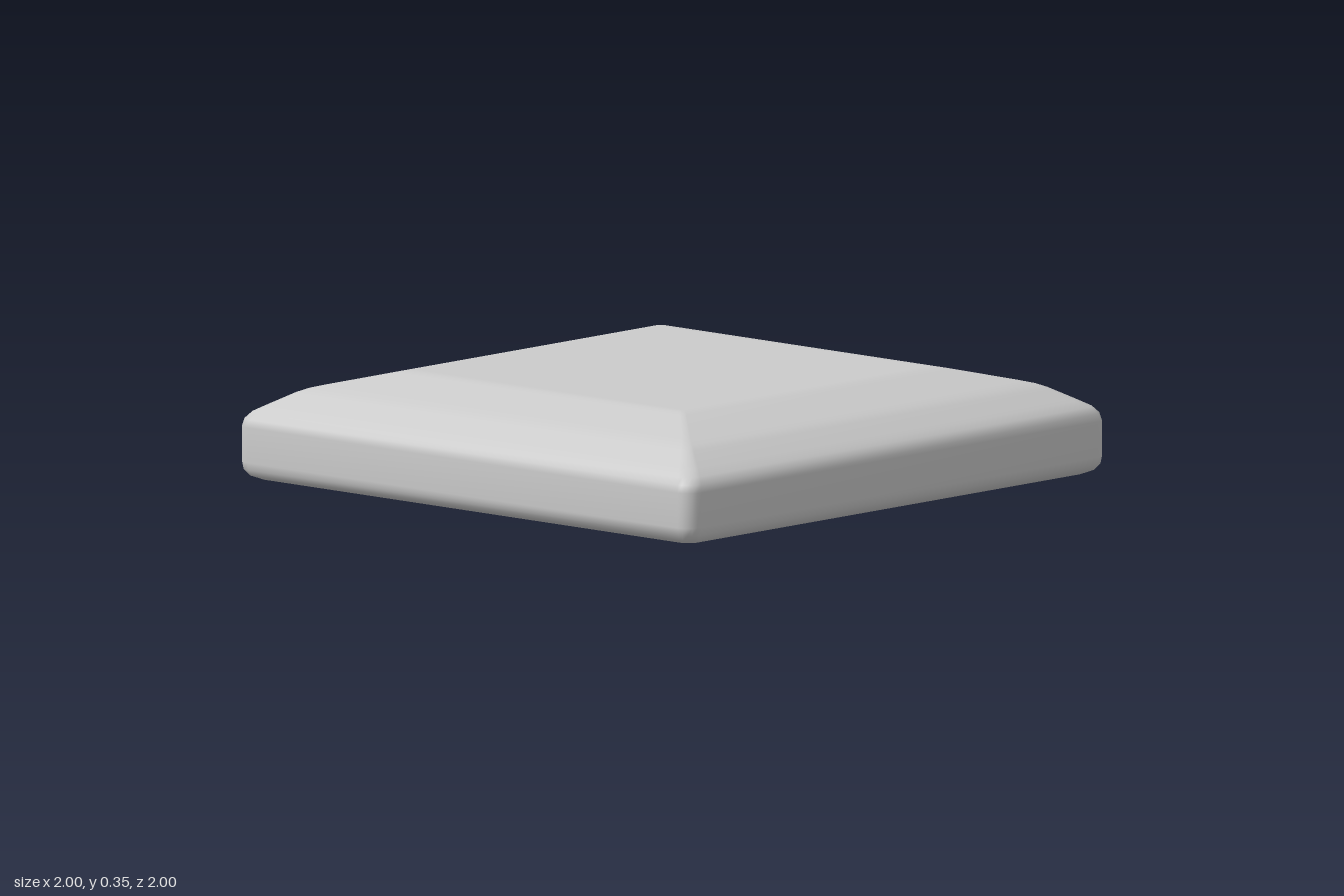
import * as THREE from 'three';

// Rounded-square cross-sections from bottom to top: [half width, height, corner radius]
const SECTIONS = [
  [0.93, 0, 0.03], [0.95, 0.002, 0.04], [0.98, 0.015, 0.045], [0.995, 0.035, 0.05], [1, 0.06, 0.055],
  [1, 0.175, 0.055], [0.994, 0.2, 0.055], [0.975, 0.222, 0.05], [0.94, 0.243, 0.045],
  [0.87, 0.283, 0.03], [0.84, 0.296, 0.025], [0.8, 0.307, 0.02],
  [0.64, 0.347, 0.015], [0.61, 0.353, 0.012], [0.58, 0.355, 0.01],
];
const CORNER_STEPS = 5;

// Points around a square with rounded corners
function squareRing([half, y, radius]) {
  const ring = [];
  for (let corner = 0; corner < 4; corner++) {
    const mid = (corner + 0.5) * Math.PI / 2;
    const cx = Math.sign(Math.cos(mid)) * (half - radius);
    const cz = Math.sign(Math.sin(mid)) * (half - radius);
    for (let s = 0; s <= CORNER_STEPS; s++) {
      const a = (corner + s / CORNER_STEPS) * Math.PI / 2;
      ring.push(cx + radius * Math.cos(a), y, cz + radius * Math.sin(a));
    }
  }
  return ring;
}

// Skin the rings and close both ends
function loftGeometry(sections) {
  const n = 4 * (CORNER_STEPS + 1);
  const positions = sections.flatMap(squareRing);
  const last = (sections.length - 1) * n;
  const bottom = sections.length * n;
  const top = bottom + 1;
  positions.push(0, sections[0][1], 0, 0, sections[sections.length - 1][1], 0);

  const index = [];
  for (let j = 0; j < n; j++) {
    const k = (j + 1) % n;
    for (let r = 0; r < last; r += n) {
      index.push(r + j, r + n + j, r + k, r + k, r + n + j, r + n + k);
    }
    index.push(bottom, j, k, top, last + k, last + j);
  }

  const geometry = new THREE.BufferGeometry();
  geometry.setAttribute('position', new THREE.Float32BufferAttribute(positions, 3));
  geometry.setIndex(index);
  geometry.computeVertexNormals();
  return geometry;
}

export function createModel() {
  const group = new THREE.Group();
  group.name = 'bevelledSlab';
  const material = new THREE.MeshStandardMaterial({ color: 0xcccccc });
  const slab = new THREE.Mesh(loftGeometry(SECTIONS), material);
  slab.name = 'slab';
  group.add(slab);
  return group;
}
